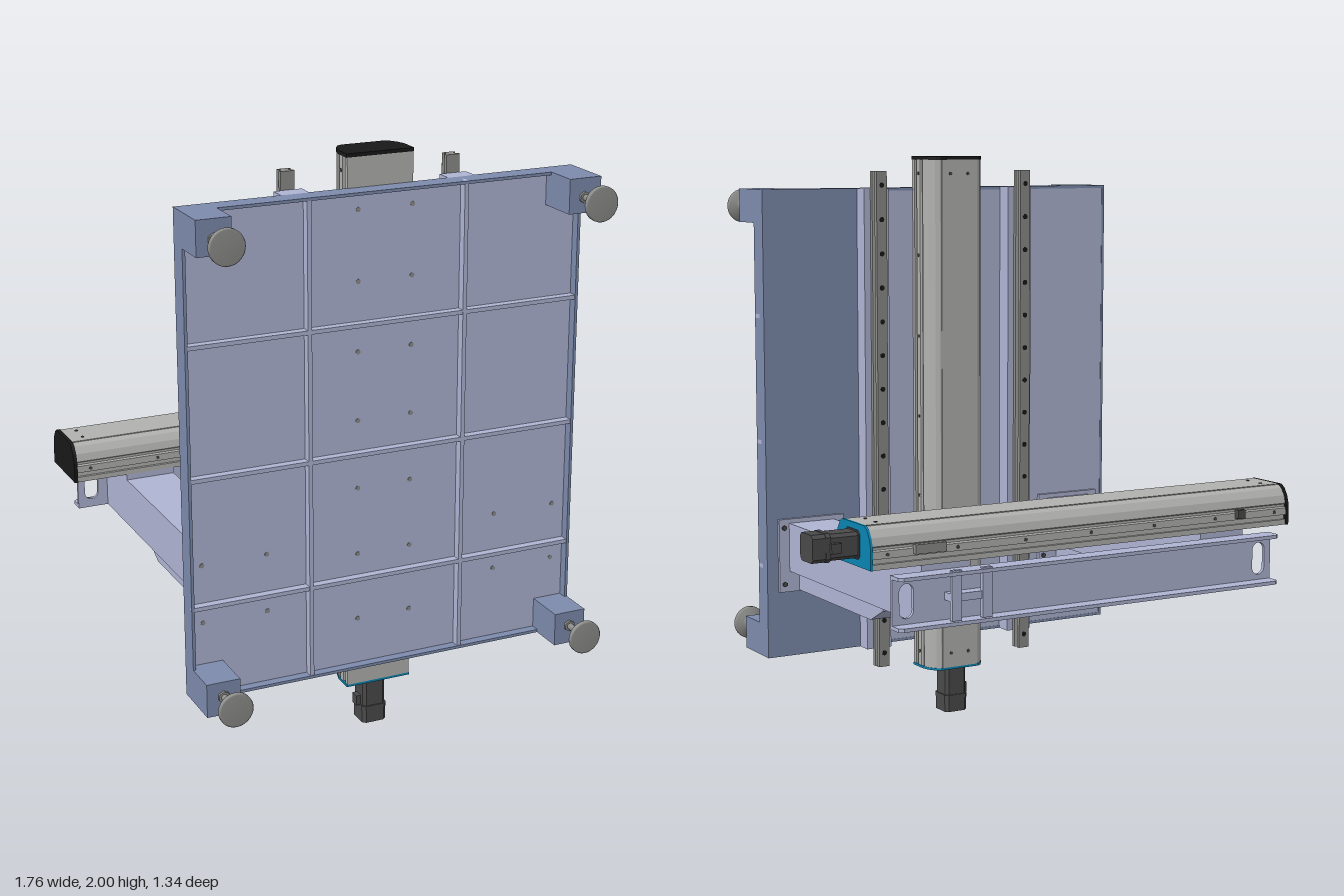
import * as THREE from 'three';

const mat = (color) => new THREE.MeshStandardMaterial({ color });
const LAV = mat(0xb0b5d4), BLUEGREY = mat(0x7d8bad), ALU = mat(0xb2b2b0), STEEL = mat(0x8c8c8a),
  DARK = mat(0x4a4a4a), BLACK = mat(0x181818), TEAL = mat(0x0a86b4);

function add(parent, name, geo, material, x = 0, y = 0, z = 0) {
  const m = new THREE.Mesh(geo, material);
  m.name = name;
  m.position.set(x, y, z);
  parent.add(m);
  return m;
}

// Box given by its minimum and maximum along each axis
function box(parent, name, material, x0, x1, y0, y1, z0, z1) {
  return add(parent, name, new THREE.BoxGeometry(x1 - x0, y1 - y0, z1 - z0), material,
    (x0 + x1) / 2, (y0 + y1) / 2, (z0 + z1) / 2);
}

// Symmetric outline from its right half, listed bottom to top
function mirrored(half) {
  const left = half.map(([x, y]) => [-x, y]).reverse();
  return new THREE.Shape([...half, ...left].map(([x, y]) => new THREE.Vector2(x, y)));
}

const extrude = (shape, depth) => new THREE.ExtrudeGeometry(shape, { depth, bevelEnabled: false, curveSegments: 12 });

function slot(cx, cy, w, h) {
  const p = new THREE.Path(), r = w / 2, s = h / 2 - r;
  p.absarc(cx, cy + s, r, 0, Math.PI, false);
  p.absarc(cx, cy - s, r, Math.PI, 2 * Math.PI, false);
  p.closePath();
  return p;
}

// Linear actuator: runs along local +z, mounting face at y = 0, motor at the far end
function actuator(name, length, motorLength) {
  const g = new THREE.Group();
  g.name = name;
  const endHalf = [[0.117, 0], [0.117, 0.07], [0.108, 0.1], [0.092, 0.125], [0.075, 0.135]];
  const bodyHalf = [[0.115, 0], [0.115, 0.018], [0.105, 0.018], [0.105, 0.034], [0.115, 0.034], [0.115, 0.058],
    [0.108, 0.062], [0.108, 0.07], [0.113, 0.074], [0.106, 0.1], [0.09, 0.123], [0.075, 0.132]];
  add(g, 'endCap', extrude(mirrored(endHalf), 0.012), BLACK);
  add(g, 'actuatorBody', extrude(mirrored(bodyHalf), length - 0.02), ALU, 0, 0, 0.012);
  add(g, 'motorEndPlate', extrude(mirrored(endHalf), 0.008), TEAL, 0, 0, length - 0.008);
  box(g, 'coverStrip', ALU, -0.07, 0.07, 0.13, 0.135, 0.012, length - 0.008);
  // Cover screws
  const screw = new THREE.CylinderGeometry(0.006, 0.006, 0.004, 10);
  for (const s of [-1, 1]) {
    for (const z of [0.06, length - 0.06]) add(g, 'coverScrew', screw, DARK, s * 0.035, 0.135, z);
    for (let i = 0; i < 7; i++) {
      const m = add(g, 'sideScrew', screw, DARK, s * 0.115, 0.046, 0.06 + i * (length - 0.12) / 6);
      m.rotation.z = Math.PI / 2;
    }
  }
  // Motor with chamfered corners, split into front flange, body and encoder
  const a = 0.046, c = 0.034;
  const motorShape = (k) => mirrored([[c * k, -a * k], [a * k, -c * k], [a * k, c * k], [c * k, a * k]]);
  const parts = [[1, 0, 0.025], [0.9, 0.025, 0.62], [1, 0.62, 0.72], [0.96, 0.72, 1]];
  for (const [k, t0, t1] of parts)
    add(g, 'motor', extrude(motorShape(k), (t1 - t0) * motorLength), DARK, 0, 0.069, length + t0 * motorLength);
  box(g, 'motorConnector', DARK, 0.04, 0.058, 0.052, 0.084, length + motorLength * 0.42, length + motorLength * 0.64);
  return g;
}

// Ribbed base plate with corner blocks
function buildPlate() {
  const g = new THREE.Group();
  g.name = 'basePlate';
  const [x0, x1, y0, y1] = [-0.77, 0.62, 0.26, 1.89];
  const front = 0.437, floor = 0.405;
  box(g, 'plate', LAV, x0 + 0.004, x1 - 0.004, y0 + 0.004, y1 - 0.004, 0.368, floor);
  box(g, 'backPanel', BLUEGREY, 0.26, x1, y0, y1, 0.365, 0.39);
  box(g, 'sideRim', BLUEGREY, x0, x0 + 0.01, y0, y1, 0.367, front);
  box(g, 'sideRim', BLUEGREY, x1 - 0.01, x1, y0, y1, 0.367, front);
  box(g, 'endRim', BLUEGREY, x0, x1, y0, y0 + 0.01, 0.367, front);
  box(g, 'endRim', BLUEGREY, x0, x1, y1 - 0.01, y1, 0.367, front);
  for (const x of [-0.35, 0.198]) box(g, 'verticalRib', LAV, x - 0.007, x + 0.007, y0, y1, 0.4, front - 0.002);
  for (const y of [0.583, 1.02, 1.457]) box(g, 'crossRib', LAV, x0, x1, y - 0.007, y + 0.007, 0.4, front - 0.003);

  // Bolt heads on the front
  const bolt = new THREE.CylinderGeometry(0.008, 0.008, 0.004, 12).rotateX(Math.PI / 2);
  for (let i = 0; i < 7; i++)
    for (const x of [-0.17, 0.02]) add(g, 'bolt', bolt, STEEL, x, 0.43 + i * 0.233, floor);
  for (const x of [-0.72, -0.495, 0.34, 0.565])
    for (const y of [0.52, 0.72]) add(g, 'bolt', bolt, STEEL, x, y, floor);

  // Corner blocks and levelling feet
  const profile = [[0.011, 0], [0.011, 0.066], [0.022, 0.068], [0.022, 0.08], [0.034, 0.086], [0.055, 0.094],
    [0.058, 0.098], [0.058, 0.11], [0.054, 0.114], [0, 0.114]].map(([x, y]) => new THREE.Vector2(x, y));
  const foot = new THREE.LatheGeometry(profile, 28).rotateX(Math.PI / 2);
  const nut = new THREE.CylinderGeometry(0.02, 0.02, 0.012, 6).rotateX(Math.PI / 2);
  for (const right of [0, 1])
    for (const top of [0, 1]) {
      const bx = right ? x1 - 0.115 : x0, by = top ? y1 - 0.115 : y0;
      box(g, 'cornerBlock', BLUEGREY, bx, bx + 0.115, by, by + 0.115, 0.37, 0.555);
      const fx = right ? 0.56 : -0.713, fy = top ? 1.827 : 0.325;
      add(g, 'levellingFoot', foot, STEEL, fx, fy, 0.555);
      add(g, 'footNut', nut, STEEL, fx, fy, 0.558);
    }
  return g;
}

// Guide rail with its backing bar
function buildRail(x) {
  const g = new THREE.Group();
  g.name = 'guideRail';
  box(g, 'railBase', LAV, -0.048, 0.048, 0.26, 1.89, 0.31, 0.37);
  const rail = mirrored([[0.024, 0], [0.024, 0.014], [0.013, 0.02], [0.013, 0.026], [0.024, 0.032], [0.02, 0.04]]);
  const geo = extrude(rail, 1.75).rotateX(-Math.PI / 2).translate(0, 0, 0.31);
  add(g, 'rail', geo, STEEL, 0, 0.2, 0);
  const hole = new THREE.CylinderGeometry(0.009, 0.009, 0.002, 12).rotateX(Math.PI / 2);
  for (let i = 0; i < 15; i++) add(g, 'railHole', hole, BLACK, 0, 0.25 + i * 0.118, 0.27);
  g.position.x = x;
  return g;
}

// Support arm: tube, wall flange, gusset and saddle
function buildArm(x) {
  const g = new THREE.Group();
  g.name = 'supportArm';
  box(g, 'armTube', LAV, -0.087, 0.087, 0.565, 0.735, -0.61, 0.36);
  box(g, 'wallFlange', LAV, -0.125, 0.125, 0.492, 0.75, 0.353, 0.366);
  const gusset = new THREE.Shape([[-0.36, 0.567], [-0.36, 0.495], [0.19, 0.495], [0.278, 0.54], [0.278, 0.567]]
    .map(([u, v]) => new THREE.Vector2(u, v)));
  add(g, 'gusset', extrude(gusset, 0.1).translate(0, 0, -0.05).rotateY(Math.PI / 2), LAV);
  box(g, 'saddlePlate', LAV, -0.087, 0.087, 0.735, 0.756, -0.61, -0.385);
  const bolt = new THREE.CylinderGeometry(0.009, 0.009, 0.008, 6).rotateX(Math.PI / 2);
  for (const sx of [-1, 1])
    for (const y of [0.52, 0.72]) add(g, 'flangeBolt', bolt, DARK, sx * 0.106, y, 0.351);
  g.position.x = x;
  return g;
}

// Channel joining the arm ends, open to the back
function buildChannel() {
  const g = new THREE.Group();
  g.name = 'crossChannel';
  const [x0, x1, y0, y1] = [-0.805, 0.65, 0.565, 0.735];
  const web = new THREE.Shape([[x0, y0], [x1, y0], [x1, y1], [x0, y1]].map(([x, y]) => new THREE.Vector2(x, y)));
  web.holes.push(slot(x0 + 0.05, 0.65, 0.05, 0.11), slot(x1 - 0.05, 0.65, 0.05, 0.11));
  add(g, 'channelWeb', extrude(web, 0.012), LAV, 0, 0, -0.622);
  const flange = new THREE.Shape([[x0, 0], [x1, 0], [x1, 0.05], [x1 - 0.015, 0.062], [x0 + 0.015, 0.062], [x0, 0.05]]
    .map(([x, y]) => new THREE.Vector2(x, y)));
  const geo = extrude(flange, 0.012).rotateX(-Math.PI / 2);
  for (const y of [y0, y1 - 0.012]) add(g, 'channelFlange', geo, LAV, 0, y, -0.612);
  // Small cable bracket
  for (const x of [0.32, 0.43]) box(g, 'bracketPost', LAV, x, x + 0.035, 0.58, 0.74, -0.67, -0.655);
  box(g, 'bracketBar', LAV, 0.32, 0.465, 0.64, 0.665, -0.665, -0.62);
  return g;
}

export function createModel() {
  const model = new THREE.Group();
  model.name = 'gantryFrame';
  model.add(buildPlate(), buildChannel());
  for (const x of [-0.368, 0.212]) model.add(buildRail(x));
  for (const x of [-0.608, 0.453]) model.add(buildArm(x));

  const lift = actuator('verticalActuator', 1.835, 0.165);
  lift.applyMatrix4(new THREE.Matrix4().makeBasis(
    new THREE.Vector3(-1, 0, 0), new THREE.Vector3(0, 0, -1), new THREE.Vector3(0, -1, 0)));
  lift.position.set(-0.077, 2, 0.372);
  model.add(lift);

  const cross = actuator('horizontalActuator', 1.605, 0.16);
  cross.rotation.y = Math.PI / 2;
  cross.position.set(-0.885, 0.755, -0.5);
  model.add(cross);

  // Limit sensors on the back of the horizontal actuator
  box(model, 'limitSensor', STEEL, 0.46, 0.57, 0.795, 0.825, -0.63, -0.612);
  box(model, 'limitSensor', DARK, -0.69, -0.66, 0.795, 0.825, -0.632, -0.612);
  return model;
}
